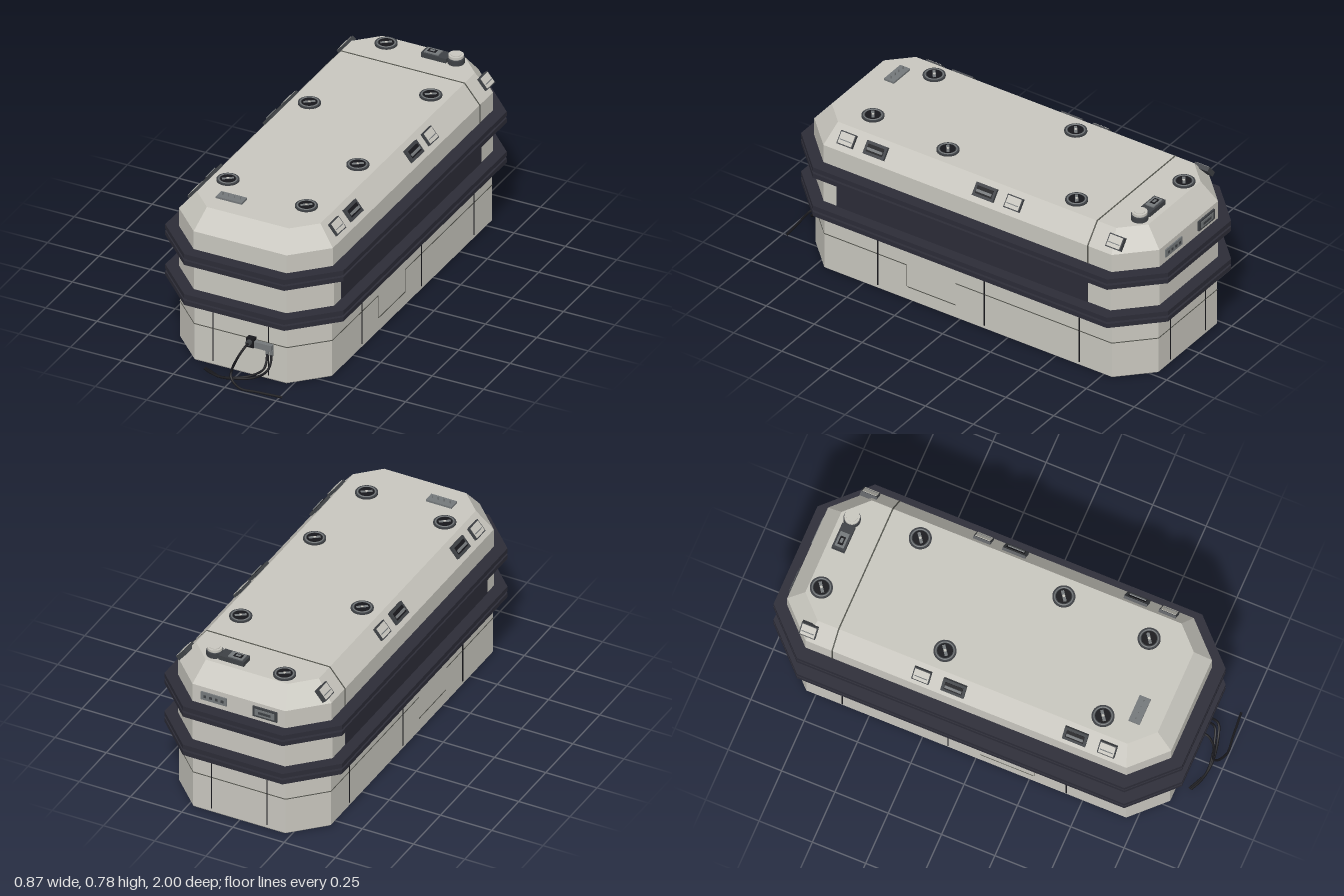
import * as THREE from 'three';

const CZ = -0.045; // the hull sits slightly behind the origin because the cable lies in front

const material = (name, color) => {
  const m = new THREE.MeshStandardMaterial({ color });
  m.name = name;
  return m;
};

// Lofts octagonal rings [y, halfX, halfZ, cornerCut] into a closed, faceted solid
function octagonLoft(rings) {
  const loops = rings.map(([y, hx, hz, c]) => [
    [hx, y, hz - c], [hx, y, c - hz], [hx - c, y, -hz], [c - hx, y, -hz],
    [-hx, y, c - hz], [-hx, y, hz - c], [c - hx, y, hz], [hx - c, y, hz],
  ]);
  const pos = [];
  const tri = (...p) => p.forEach((v) => pos.push(...v));
  const last = loops.length - 1;
  for (let i = 0; i < 8; i++) {
    const j = (i + 1) % 8;
    for (let k = 0; k < last; k++) {
      const a = loops[k], b = loops[k + 1];
      tri(a[i], a[j], b[j]);
      tri(a[i], b[j], b[i]);
    }
    tri([0, rings[last][0], 0], loops[last][i], loops[last][j]);
    tri([0, rings[0][0], 0], loops[0][j], loops[0][i]);
  }
  const g = new THREE.BufferGeometry();
  g.setAttribute('position', new THREE.Float32BufferAttribute(pos, 3));
  g.computeVertexNormals();
  return g;
}

export function createModel() {
  const root = new THREE.Group();
  root.name = 'container';
  const hull = material('hull grey', 0xc8c6be);
  const rail = material('rail navy', 0x2c2c37);
  const black = material('seam black', 0x17171b);
  const groove = material('groove grey', 0x55564f);
  const dark = material('fitting dark grey', 0x3e4145);
  const mid = material('fitting grey', 0x74787a);

  const add = (parent, name, geo, mat, x = 0, y = 0, z = 0) => {
    const m = new THREE.Mesh(geo, mat);
    m.name = name;
    m.position.set(x, y, z);
    parent.add(m);
    return m;
  };
  const box = (parent, name, mat, w, h, d, x, y, z) =>
    add(parent, name, new THREE.BoxGeometry(w, h, d), mat, x, y, z);
  const cyl = (parent, name, mat, r, h, x, y, z, n = 20) =>
    add(parent, name, new THREE.CylinderGeometry(r, r, h, n), mat, x, y, z);
  const group = (name, x, y, z) => {
    const g = new THREE.Group();
    g.name = name;
    g.position.set(x, y, z);
    root.add(g);
    return g;
  };

  // Hull sections
  add(root, 'lowerHull', octagonLoft([
    [0, 0.364, 0.891, 0.143], [0.006, 0.37, 0.895, 0.145],
    [0.288, 0.37, 0.895, 0.145], [0.302, 0.362, 0.888, 0.143]]), hull, 0, 0, CZ);
  add(root, 'middleHull', octagonLoft([
    [0.30, 0.377, 0.9, 0.152], [0.51, 0.377, 0.9, 0.152]]), hull, 0, 0, CZ);
  add(root, 'lid', octagonLoft([
    [0.51, 0.374, 0.9, 0.148], [0.645, 0.374, 0.9, 0.148], [0.735, 0.3, 0.826, 0.1]]), hull, 0, 0, CZ);

  // Two double rails round the hull
  for (const y of [0.302, 0.502]) {
    const wide = [0.433, 0.957, 0.19], slim = [0.42, 0.944, 0.185];
    add(root, 'rail', octagonLoft([
      [y, ...wide], [y + 0.021, ...wide], [y + 0.021, ...slim],
      [y + 0.032, ...slim], [y + 0.032, ...wide], [y + 0.054, ...wide]]), rail, 0, 0, CZ);
  }

  // Horizontal seam of the lower hull, stepping down on the long sides
  const seam = (x1, z1, x2, z2, y) => {
    const len = Math.hypot(x2 - x1, z2 - z1);
    const m = box(root, 'lowerSeam', groove, len, 0.004, 0.003, (x1 + x2) / 2, y, (z1 + z2) / 2);
    m.rotation.y = -Math.atan2(z2 - z1, x2 - x1);
  };
  const zf = 0.85, zb = -0.94;
  seam(-0.225, zf, 0.225, zf, 0.182);
  seam(-0.225, zb, 0.225, zb, 0.182);
  for (const s of [1, -1]) {
    seam(s * 0.225, zf, s * 0.37, 0.705, 0.182);
    seam(s * 0.225, zb, s * 0.37, -0.795, 0.182);
    seam(s * 0.37, 0.705, s * 0.37, 0.275, 0.182);
    seam(s * 0.37, 0.02, s * 0.37, -0.795, 0.182);
    seam(s * 0.37, 0.27, s * 0.37, 0.02, 0.07);
    for (const z of [0.275, 0.02])
      box(root, 'seamStep', groove, 0.003, 0.11, 0.001, s * 0.37, 0.126, z);

    // Upright black gaps on the sides, front and back
    for (const z of [0.425, -0.13, -0.625])
      box(root, 'sideGap', black, 0.004, 0.26, 0.006, s * 0.37, 0.15, z);
    for (const z of [zf, zb])
      box(root, 'endGap', black, 0.004, 0.26, 0.004, s * 0.135, 0.15, z);

    // Dark panel between the rails
    box(root, 'sidePanel', rail, 0.006, 0.145, 1.31, s * 0.377, 0.428, -0.02);

    // Seam down the side of the lid
    box(root, 'lidSeamSide', groove, 0.003, 0.09, 0.006, s * 0.374, 0.6, -0.672);
    const slant = box(root, 'lidSeamSlope', groove, 0.117, 0.003, 0.006, s * 0.337, 0.69, -0.672);
    slant.rotation.z = -s * 0.883;

    // Latches and lamps on the sloping edge
    for (const [z, w, lamp] of [[0.605, 0.08, 1], [0.455, 0.108, 0], [-0.115, 0.108, 0],
      [-0.265, 0.08, 1], [-0.795, 0.076, 1]]) {
      const g = group(lamp ? 'sideLamp' : 'sideLatch', s * 0.337, 0.69, z);
      g.rotation.z = -s * 0.883;
      box(g, 'frame', dark, 0.062, 0.022, w, 0, 0.002, 0);
      if (lamp) {
        box(g, 'lampFace', hull, 0.052, 0.006, w - 0.01, 0, 0.012, 0);
        box(g, 'lampLine', mid, 0.004, 0.002, w - 0.02, s * 0.008, 0.0155, 0);
      } else {
        box(g, 'latchRecess', black, 0.036, 0.003, w - 0.024, 0, 0.0125, 0);
        box(g, 'latchHandle', mid, 0.012, 0.008, w - 0.03, s * 0.004, 0.014, 0);
      }
    }
  }
  box(root, 'lidSeamTop', groove, 0.602, 0.003, 0.006, 0, 0.735, -0.672);

  // Round twist locks on the roof
  for (const [x, z] of [[-0.155, -0.815], [0.22, -0.51], [-0.215, -0.21],
    [0.215, 0.165], [-0.225, 0.535], [0.18, 0.58]]) {
    const g = group('twistLock', x, 0.735, z);
    cyl(g, 'lockPlate', dark, 0.05, 0.01, 0, 0.003, 0, 24);
    const ring = add(g, 'lockRing', new THREE.TorusGeometry(0.04, 0.003, 6, 24), mid, 0, 0.008, 0);
    ring.rotation.x = Math.PI / 2;
    cyl(g, 'lockCore', black, 0.034, 0.002, 0, 0.0085, 0, 24);
    const bar = box(g, 'lockBar', mid, 0.052, 0.003, 0.014, 0, 0.0095, 0);
    bar.rotation.y = Math.PI / 5;
    cyl(g, 'lockPin', hull, 0.006, 0.003, 0, 0.011, 0, 10);
  }

  // Peg plate at the front of the roof
  const pegs = group('pegPlate', -0.138, 0.735, 0.67);
  box(pegs, 'plate', mid, 0.126, 0.01, 0.052, 0, 0.004, 0);
  for (let i = 0; i < 4; i++)
    cyl(pegs, 'peg', mid, 0.003, 0.022, -0.043 + i * 0.029, 0.012, 0, 8);

  // Control box and beacon at the back of the roof
  const control = group('controlBox', 0.09, 0.735, -0.815);
  box(control, 'case', dark, 0.122, 0.022, 0.06, 0, 0.011, 0);
  box(control, 'keypad', mid, 0.07, 0.006, 0.042, -0.015, 0.024, 0);
  box(control, 'screen', black, 0.04, 0.003, 0.024, -0.02, 0.027, 0);
  box(control, 'screenGlass', mid, 0.022, 0.002, 0.012, -0.02, 0.029, 0);
  const beacon = group('beacon', 0.185, 0.735, -0.815);
  cyl(beacon, 'base', dark, 0.038, 0.024, 0, 0.012, 0);
  cyl(beacon, 'collar', mid, 0.03, 0.008, 0, 0.026, 0);
  cyl(beacon, 'cap', hull, 0.034, 0.012, 0, 0.034, 0);
  cyl(beacon, 'capDisc', hull, 0.024, 0.004, 0, 0.041, 0);

  // Fittings on the back of the lid
  const vent = group('backVent', -0.13, 0.602, -0.945);
  box(vent, 'frame', dark, 0.12, 0.05, 0.016, 0, 0, 0);
  box(vent, 'insert', mid, 0.096, 0.032, 0.004, 0, 0, -0.008);
  box(vent, 'slot', dark, 0.06, 0.012, 0.003, 0, 0, -0.0105);
  const socket = group('backSocket', 0.12, 0.602, -0.945);
  box(socket, 'plate', mid, 0.126, 0.04, 0.012, 0, 0, 0);
  for (let i = 0; i < 4; i++)
    box(socket, 'contact', dark, 0.012, 0.012, 0.006, -0.042 + i * 0.028, 0, -0.006);

  // Plug block and cables at the front
  box(root, 'plug', black, 0.036, 0.044, 0.03, 0.058, 0.174, 0.863);
  const nose = cyl(root, 'plugNose', dark, 0.013, 0.02, 0.058, 0.18, 0.885, 12);
  nose.rotation.x = Math.PI / 2;
  box(root, 'junctionBox', mid, 0.084, 0.03, 0.024, 0.118, 0.167, 0.86);
  const cable = (pts) => {
    const curve = new THREE.CatmullRomCurve3(pts.map((p) => new THREE.Vector3(...p)), false, 'centripetal');
    add(root, 'cable', new THREE.TubeGeometry(curve, 36, 0.0055, 8), black);
  };
  cable([[0.058, 0.18, 0.88], [0.056, 0.175, 0.91], [0.035, 0.13, 0.945], [0.008, 0.055, 0.955],
    [0.016, 0.032, 0.968], [0.07, 0.01, 0.992], [0.15, 0.009, 0.985], [0.267, 0.009, 0.975]]);
  for (const [x, dz] of [[0.135, 0], [0.156, 0.008]]) {
    cyl(root, 'cableSleeve', mid, 0.008, 0.026, x, 0.142, 0.862, 10);
    cable([[x, 0.14, 0.862], [x + 0.006, 0.105, 0.88], [x + 0.004, 0.078, 0.905 + dz],
      [x - 0.045, 0.044, 0.925 + dz], [0.02, 0.024, 0.942 + dz], [-0.05, 0.011, 0.945],
      [-0.1, 0.01, 0.932 - dz], [-0.143, 0.01, 0.912 - dz]]);
  }

  return root;
}
